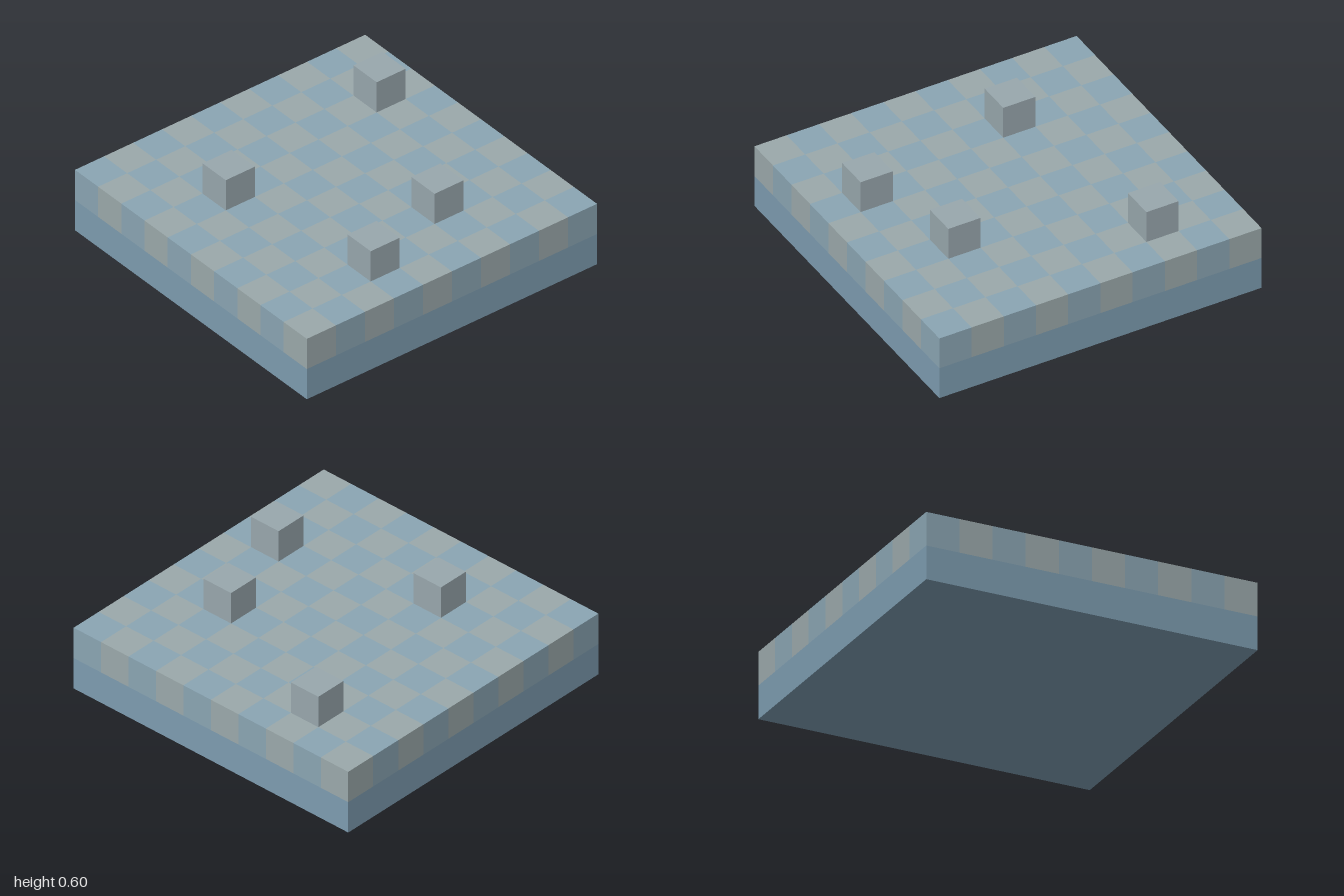
import * as THREE from 'three';

export function createModel() {
  const model = new THREE.Group();
  const cell = 0.2, count = 10;
  const cube = new THREE.BoxGeometry(cell, cell, cell);
  const paint = (color) => new THREE.MeshStandardMaterial({ color });
  const blueTile = paint(0x8aa5b3), greyTile = paint(0x9ba9ab);
  const baseBlue = paint(0x7d9cb0), blockGrey = paint(0x98a7ad);

  const add = (name, geometry, material, x, y, z, parent = model) => {
    const mesh = new THREE.Mesh(geometry, material);
    mesh.name = name;
    mesh.position.set(x, y, z);
    parent.add(mesh);
  };

  // Solid lower layer
  add('base', new THREE.BoxGeometry(2, cell, 2), baseBlue, 0, 0.1, 0);

  // Checkered floor of cubes
  const floor = new THREE.Group();
  floor.name = 'checkeredFloor';
  model.add(floor);
  for (let row = 0; row < count; row++) {
    for (let col = 0; col < count; col++) {
      const even = (row + col) % 2 === 0;
      add(even ? 'blueTile' : 'greyTile', cube, even ? blueTile : greyTile,
        -0.9 + col * cell, 0.3, -0.9 + row * cell, floor);
    }
  }

  // Loose blocks standing on the floor
  for (const [x, z] of [[-0.5, -0.3], [0.7, -0.5], [0.3, 0.5], [-0.3, 0.7]]) {
    add('block', cube, blockGrey, x, 0.5, z);
  }
  return model;
}
